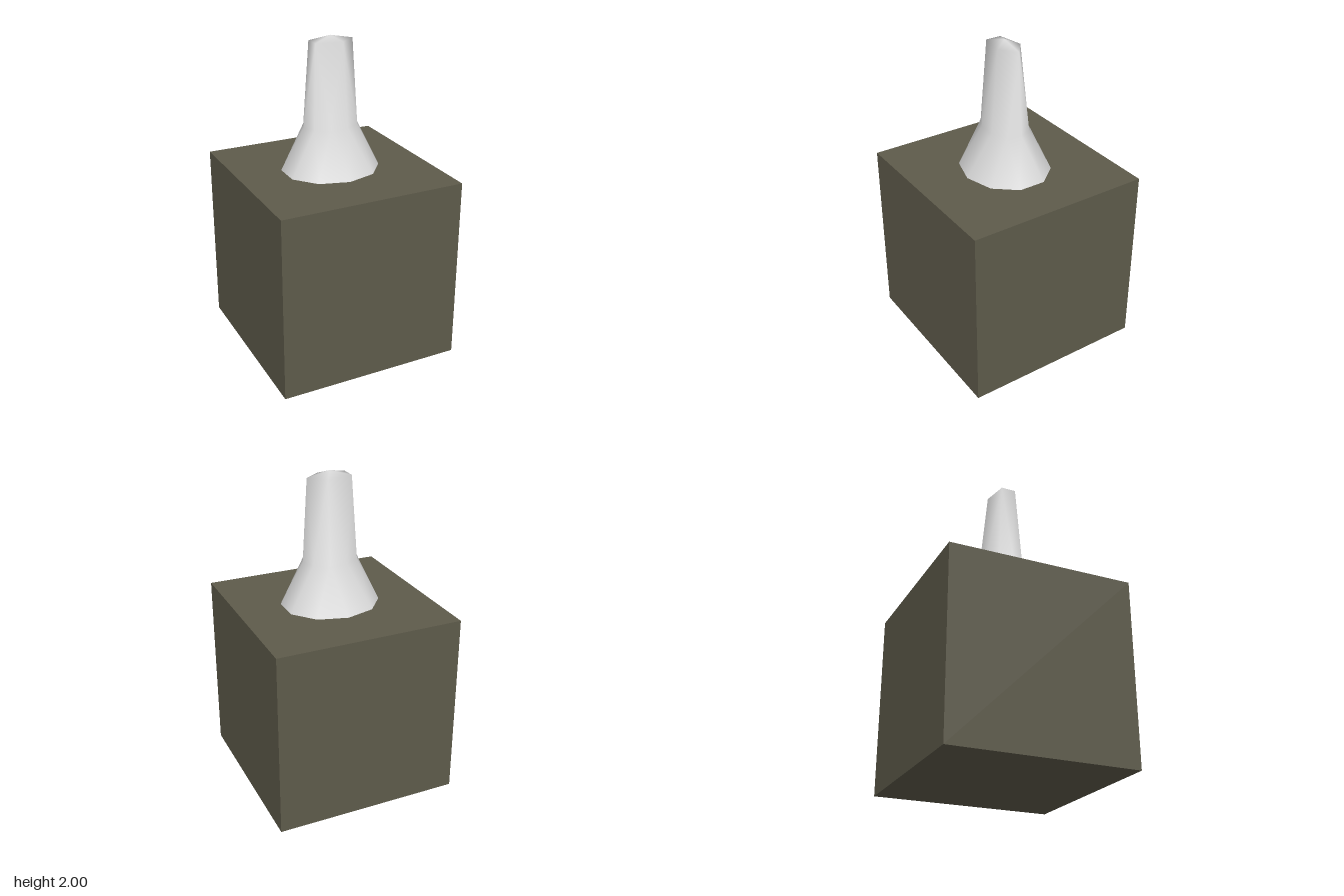
import * as THREE from 'three';

const DEG = Math.PI / 180;

// Elliptical ring of points, flattened into [x, y, z, ...]
function ring(count, startDeg, rx, rz, y) {
  const out = [];
  for (let i = 0; i < count; i++) {
    const a = (startDeg + (i * 360) / count) * DEG;
    out.push(rx * Math.cos(a), y, rz * Math.sin(a));
  }
  return out;
}

// Tapering neck: flared ten-sided foot, ten-sided waist, five-sided tip with a low point
function neckGeometry() {
  const positions = [
    ...ring(10, 18, 0.31, 0.272, 1.17),
    ...ring(10, 0, 0.178, 0.135, 1.455),
    ...ring(5, 0, 0.147, 0.082, 1.97),
    0, 2, 0,
  ];
  const foot = (i) => i % 10;
  const waist = (i) => 10 + (i % 10);
  const tip = (i) => 20 + (i % 5);
  const apex = 25;
  const index = [];
  for (let i = 0; i < 10; i++) {
    index.push(foot(i), waist(i + 1), foot(i + 1));
    index.push(foot(i), waist(i), waist(i + 1));
  }
  for (let i = 0; i < 5; i++) {
    const w = 2 * i;
    index.push(waist(w), tip(i), waist(w + 1));
    index.push(waist(w + 1), tip(i), tip(i + 1));
    index.push(waist(w + 1), tip(i + 1), waist(w + 2));
    index.push(tip(i), apex, tip(i + 1));
  }
  const geometry = new THREE.BufferGeometry();
  geometry.setAttribute('position', new THREE.Float32BufferAttribute(positions, 3));
  geometry.setIndex(index);
  geometry.computeVertexNormals();
  return geometry;
}

export function createModel() {
  const olive = new THREE.MeshStandardMaterial({ color: 0x5e5b4b });
  olive.name = 'dark olive';
  const paleGrey = new THREE.MeshStandardMaterial({ color: 0xe0e0e0 });
  paleGrey.name = 'pale grey';

  const group = new THREE.Group();
  group.name = 'blockWithNeck';

  // Cube base
  const block = new THREE.Mesh(new THREE.BoxGeometry(1.17, 1.17, 1.17), olive);
  block.name = 'block';
  block.position.y = 0.585;
  group.add(block);

  // Neck on top
  const neck = new THREE.Mesh(neckGeometry(), paleGrey);
  neck.name = 'neck';
  group.add(neck);

  return group;
}
